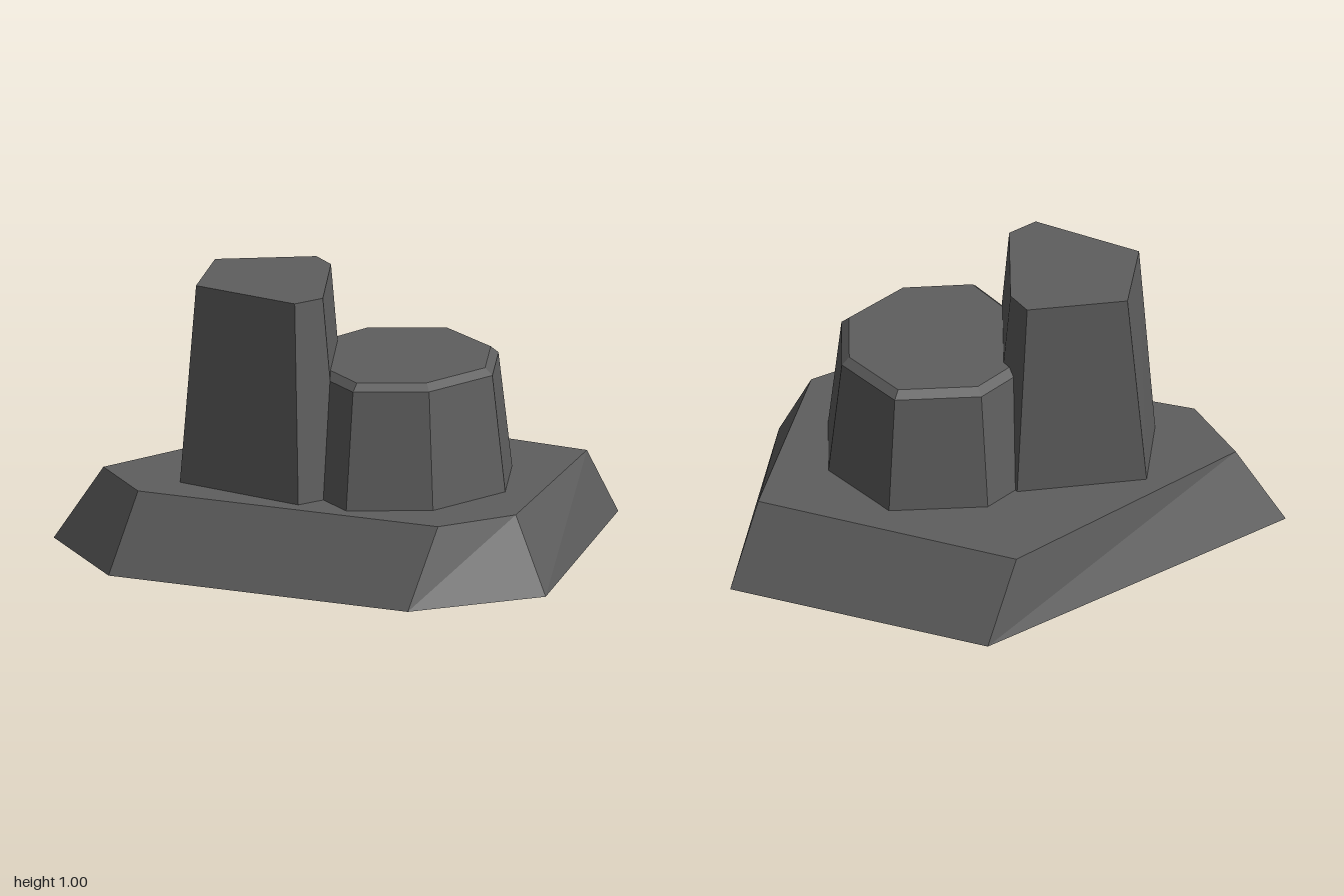
import * as THREE from 'three';

// Closed faceted solid through rings of [x, z] corners, listed clockwise from above, at rising heights
function loft(rings, heights) {
  const n = rings[0].length;
  const pos = [];
  const put = (r, i) => pos.push(rings[r][i % n][0], heights[r], rings[r][i % n][1]);
  const last = rings.length - 1;
  for (let r = 0; r < last; r++) {
    for (let i = 0; i < n; i++) {
      put(r, i + 1); put(r, i); put(r + 1, i);
      put(r, i + 1); put(r + 1, i); put(r + 1, i + 1);
    }
  }
  for (let i = 1; i < n - 1; i++) {
    put(last, 0); put(last, i + 1); put(last, i);
    put(0, 0); put(0, i); put(0, i + 1);
  }
  const g = new THREE.BufferGeometry();
  g.setAttribute('position', new THREE.Float32BufferAttribute(pos, 3));
  g.computeVertexNormals();
  return g;
}

export function createModel() {
  const group = new THREE.Group();
  const stone = new THREE.MeshStandardMaterial({ color: 0x5e5e5e });
  stone.name = 'dark stone';
  stone.flatShading = true;

  const add = (name, rings, heights) => {
    const mesh = new THREE.Mesh(loft(rings, heights), stone);
    mesh.name = name;
    group.add(mesh);
  };

  // Wide six-sided slab with sloping sides
  add('baseRock', [
    [[-1, -0.51], [0.35, -0.85], [1, -0.085], [0.35, 0.85], [-0.18, 0.85], [-1, 0.02]],
    [[-0.845, -0.42], [0.19, -0.755], [0.84, 0.015], [0.295, 0.70], [-0.02, 0.74], [-0.845, -0.085]],
  ], [0, 0.27]);

  // Tall irregular column
  add('tallColumn', [
    [[-0.475, -0.455], [-0.02, -0.33], [-0.01, -0.15], [-0.2, 0.25], [-0.38, 0.295], [-0.665, -0.135]],
    [[-0.42, -0.41], [-0.07, -0.31], [-0.06, -0.195], [-0.25, 0.205], [-0.37, 0.235], [-0.61, -0.115]],
  ], [0.26, 1]);

  // Short eight-sided column with a bevelled rim
  const foot = [[0.12, -0.38], [0.45, -0.25], [0.52, 0.1], [0.37, 0.41],
    [0.04, 0.54], [-0.25, 0.43], [-0.3, 0.09], [-0.17, -0.25]];
  const shrink = (s) => foot.map(([x, z]) => [0.1 + (x - 0.1) * s, 0.085 + (z - 0.085) * s]);
  add('shortColumn', [foot, shrink(0.875), shrink(0.805)], [0.265, 0.695, 0.72]);

  return group;
}
